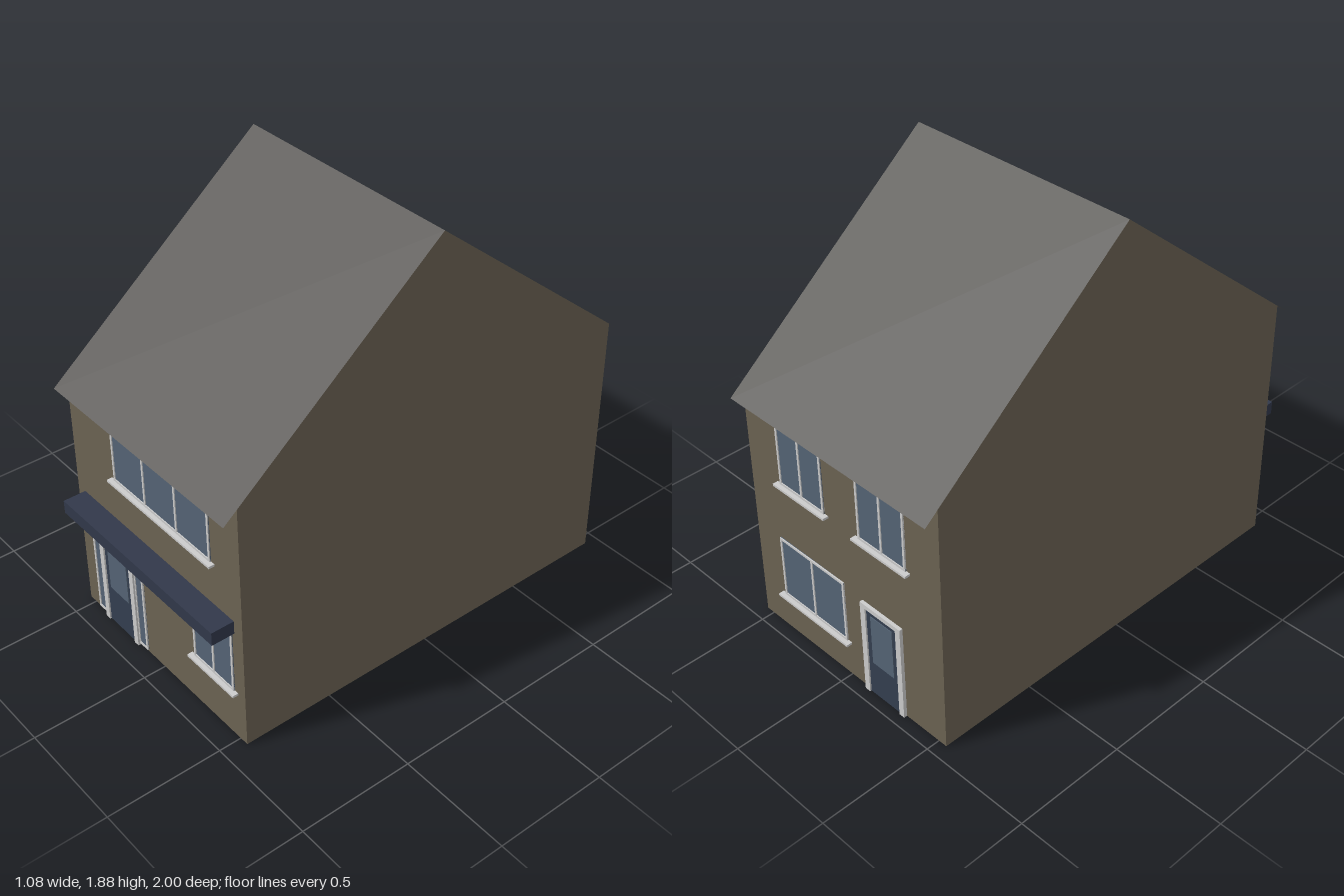
import * as THREE from 'three';

const mat = (color, side = THREE.FrontSide) =>
  new THREE.MeshStandardMaterial({ color, side, flatShading: true });

const W = 0.54, FRONT = 0.90, BACK = -0.94, EAVE = 1.13, RIDGE = 1.88, RIDGE_Z = -0.02;

export function createModel() {
  const house = new THREE.Group();
  house.name = 'house';
  const wallMat = mat(0x6b6252, THREE.DoubleSide);
  const roofMat = mat(0x555350, THREE.DoubleSide);
  const frameMat = mat(0xcccccc);
  const glassMat = mat(0x546374);
  const doorMat = mat(0x333e4f);
  const canopyMat = mat(0x31384a);

  const add = (parent, name, geometry, material) => {
    const mesh = new THREE.Mesh(geometry, material);
    mesh.name = name;
    parent.add(mesh);
    return mesh;
  };

  // Box given by its extents
  const box = (parent, name, material, x0, x1, y0, y1, z0, z1) => {
    const mesh = add(parent, name, new THREE.BoxGeometry(x1 - x0, y1 - y0, z1 - z0), material);
    mesh.position.set((x0 + x1) / 2, (y0 + y1) / 2, (z0 + z1) / 2);
    return mesh;
  };

  // Gable walls: pentagons drawn in (-z, y), turned to face +x and -x
  for (const s of [1, -1]) {
    const outline = [[FRONT, 0], [BACK, 0], [BACK, EAVE], [RIDGE_Z, RIDGE], [FRONT, EAVE]];
    const shape = new THREE.Shape(outline.map(([z, y]) => new THREE.Vector2(-s * z, y)));
    const gable = add(house, s > 0 ? 'leftGableWall' : 'rightGableWall', new THREE.ShapeGeometry(shape), wallMat);
    gable.rotation.y = s * Math.PI / 2;
    gable.position.x = s * W;
  }

  // Front and back walls; the underside stays open
  for (const [name, z, turn] of [['frontWall', FRONT, 0], ['backWall', BACK, Math.PI]]) {
    const wall = add(house, name, new THREE.PlaneGeometry(2 * W, EAVE), wallMat);
    wall.position.set(0, EAVE / 2, z);
    wall.rotation.y = turn;
  }

  // Thin roof slopes overhanging the eaves
  const run = 0.98, drop = run * (RIDGE - EAVE) / 0.92;
  for (const s of [1, -1]) {
    const slope = new THREE.PlaneGeometry(2 * W, Math.hypot(run, drop));
    slope.rotateX(-Math.atan2(run, drop));
    if (s < 0) slope.rotateY(Math.PI);
    slope.translate(0, RIDGE - drop / 2, RIDGE_Z + s * run / 2);
    add(house, s > 0 ? 'frontRoof' : 'backRoof', slope, roofMat);
  }

  // Facade groups: wall plane at local z = 0, facing local +z
  const front = new THREE.Group();
  front.name = 'frontFacade';
  front.position.z = FRONT;
  const back = new THREE.Group();
  back.name = 'backFacade';
  back.position.z = BACK;
  back.rotation.y = Math.PI;
  house.add(front, back);

  // Window with a frame, equal panes and an optional sill
  function makeWindow(parent, name, x0, x1, y0, y1, panes, sill = true) {
    const g = new THREE.Group(), t = 0.01, d = 0.007;
    g.name = name;
    parent.add(g);
    box(g, 'glass', glassMat, x0, x1, y0, y1, 0, 0.003);
    box(g, 'frameBottom', frameMat, x0, x1, y0, y0 + t, 0, d);
    box(g, 'frameTop', frameMat, x0, x1, y1 - t, y1, 0, d);
    for (let i = 0; i <= panes; i++) {
      const x = x0 + t / 2 + (x1 - x0 - t) * i / panes;
      box(g, 'frameUpright', frameMat, x - t / 2, x + t / 2, y0 + t, y1 - t, 0, d);
    }
    if (sill) box(g, 'sill', frameMat, x0 - 0.02, x1 + 0.02, y0 - 0.01, y0, 0, 0.025);
  }

  // Door with a frame and an upper glass panel
  function makeDoor(parent, name, x0, x1, top) {
    const g = new THREE.Group(), t = 0.027, d = 0.015;
    g.name = name;
    parent.add(g);
    box(g, 'doorLeaf', doorMat, x0 + t, x1 - t, 0, top - 0.02, 0, 0.008);
    box(g, 'doorGlass', glassMat, x0 + t + 0.025, x1 - t - 0.025, top - 0.28, top - 0.045, 0, 0.011);
    box(g, 'doorFrameTop', frameMat, x0, x1, top - 0.02, top, 0, d);
    box(g, 'doorFrameSide', frameMat, x0, x0 + t, 0, top - 0.02, 0, d);
    box(g, 'doorFrameSide', frameMat, x1 - t, x1, 0, top - 0.02, 0, d);
  }

  // Front: door with sidelights, ground and upper windows, canopy
  makeDoor(front, 'frontDoor', -0.40, -0.167, 0.467);
  makeWindow(front, 'sidelightRight', -0.46, -0.395, 0.01, 0.433, 1, false);
  makeWindow(front, 'sidelightLeft', -0.172, -0.11, 0.01, 0.433, 1, false);
  makeWindow(front, 'frontLowerWindow', 0.227, 0.477, 0.233, 0.545, 2);
  makeWindow(front, 'frontUpperWindow', -0.25, 0.367, 0.788, 1.10, 3);
  box(front, 'canopy', canopyMat, -0.493, 0.49, 0.528, 0.587, 0, 0.10);

  // Back: local x is mirrored
  makeDoor(back, 'backDoor', 0.095, 0.32, 0.447);
  makeWindow(back, 'backLowerWindow', -0.393, -0.01, 0.173, 0.465, 2);
  makeWindow(back, 'backUpperWindowLeft', -0.355, -0.095, 0.75, 1.04, 2);
  makeWindow(back, 'backUpperWindowRight', 0.10, 0.36, 0.75, 1.04, 2);

  return house;
}
